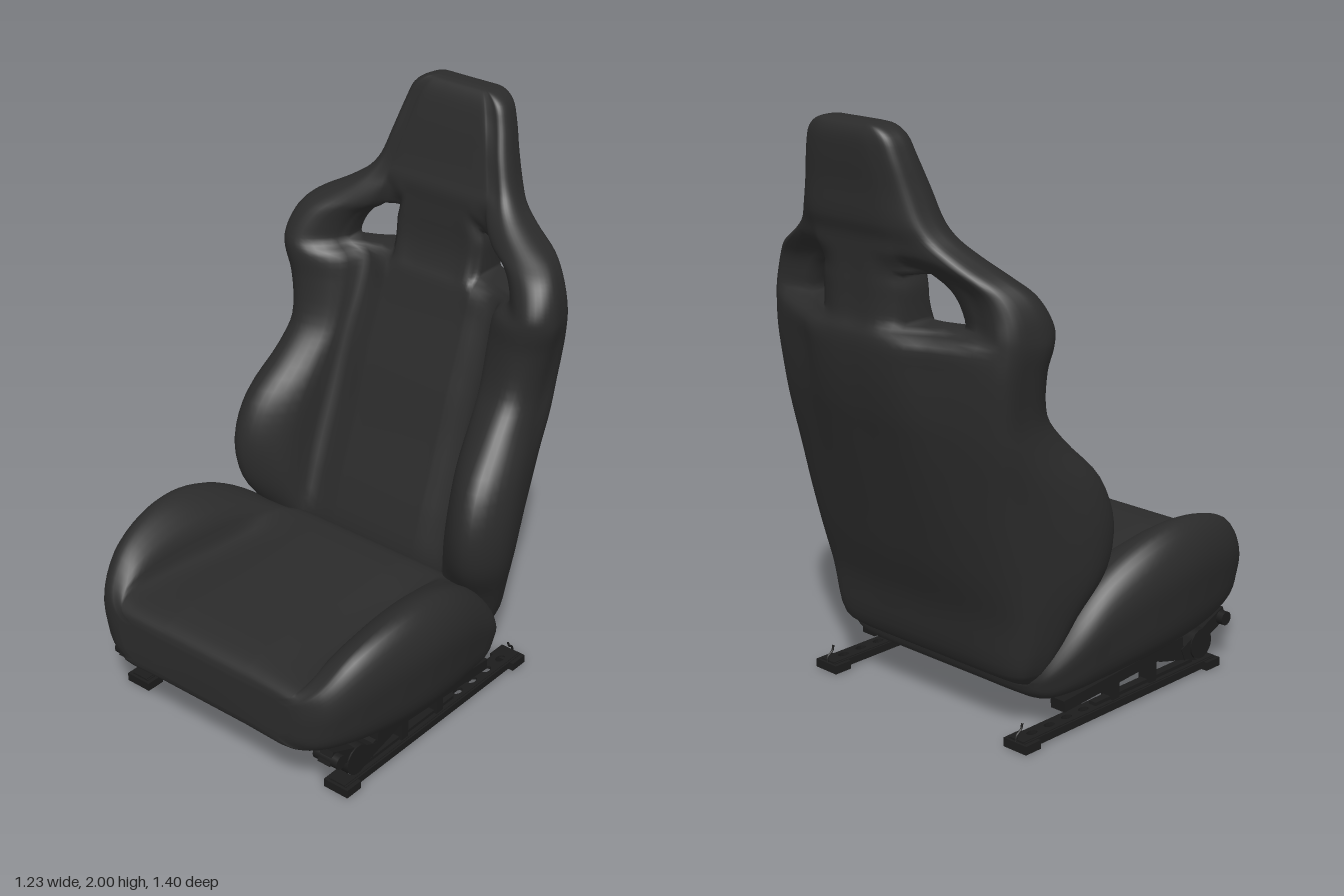
import * as THREE from 'three';

const fabric = new THREE.MeshStandardMaterial({ color: 0x2b2b2b });
fabric.name = 'charcoal upholstery';
const metal = new THREE.MeshStandardMaterial({ color: 0x1c1c1c });
metal.name = 'black metal';

const COLS = 3, ROWS = 4; // subdivisions between control points
const A = 3, B = 4, B_BACK = 13, A_BACK = 14; // control points beside an opening

// Closed bolstered cross-section as [x, depth] pairs.
// w half width, xs seam, c centre face, b bolster peak, k centre back, s side back, wb back half width
function section({ w, xs, c, b, k, s = k, wb = w * 0.94, open = false }) {
  const xi = Math.min(0.185, xs * 0.78), d = w - xs, D = b - s;
  const p = open ? 0.03 : 0;
  const groove = Math.min(0.012, Math.abs(b - c) * 0.1);
  const rise = (t) => c + (b - c) * t;
  const half = [
    [0, c], [xi * 0.5, c], [xi - 0.03, c], [xi, c - p],
    [xs, open ? rise(0.3) - p : c - groove],
    [xs + d * 0.15, rise(0.48)], [xs + d * 0.45, rise(0.9)], [xs + d * 0.7, b],
    [xs + d * 0.9, b - D * 0.1], [w, b - D * 0.3], [w + (wb - w) * 0.35, b - D * 0.55],
    [wb, b - D * 0.8], [wb * 0.91, b - D * 0.95],
    [xs, k + (s - k) * (open ? 1 : 0.5) + p], [xi, k + (s - k) * 0.12 + p], [xi * 0.5, k], [0, k],
  ];
  const mirrored = half.slice(1, -1).reverse().map(([x, z]) => [-x, z]);
  return [...half, ...mirrored];
}

// Smooth skin through the sections; hole = [first, last] station of a mirrored opening
function loft(stations, place, hole) {
  const rings = stations.map((st) => {
    const pts = section(st).map(([x, v]) => place(x, v, st.at));
    const curve = new THREE.CatmullRomCurve3(pts, true);
    const n = pts.length * COLS;
    return Array.from({ length: n }, (_, i) => curve.getPoint(i / n));
  });
  const N = rings[0].length, R = (stations.length - 1) * ROWS;
  const columns = rings[0].map((_, i) => new THREE.CatmullRomCurve3(rings.map((r) => r[i])));
  const pos = [], index = [];
  for (let j = 0; j <= R; j++) for (const col of columns) pos.push(...col.getPoint(j / R).toArray());
  const id = (j, i) => j * N + ((i + N) % N);
  const quad = (a, b, c, d) => index.push(a, b, d, b, c, d);

  const [j0, j1] = hole ? [hole[0] * ROWS, hole[1] * ROWS] : [1, 0];
  const inGap = (i) => (i >= A * COLS && i < B * COLS) || (i >= B_BACK * COLS && i < A_BACK * COLS);
  for (let j = 0; j < R; j++) for (let i = 0; i < N; i++) {
    if (j >= j0 && j < j1 && (inGap(i) || inGap(N - 1 - i))) continue;
    quad(id(j, i), id(j, i + 1), id(j + 1, i + 1), id(j + 1, i));
  }

  // Walls through the openings
  if (hole) {
    const loop = [];
    for (let k = 0; k < COLS; k++) loop.push([j0, k]);
    for (let j = j0; j < j1; j++) loop.push([j, COLS]);
    for (let k = COLS; k > 0; k--) loop.push([j1, k]);
    for (let j = j1; j > j0; j--) loop.push([j, 0]);
    loop.forEach(([j, k], n) => {
      const [jn, kn] = loop[(n + 1) % loop.length];
      const f = A * COLS + k, fn = A * COLS + kn, r = A_BACK * COLS - k, rn = A_BACK * COLS - kn;
      quad(id(j, f), id(jn, fn), id(jn, rn), id(j, r));
      quad(id(j, -r), id(jn, -rn), id(jn, -fn), id(j, -f));
    });
  }

  // End caps
  for (const j of [0, R]) {
    const centre = new THREE.Vector3();
    for (let i = 0; i < N; i++) centre.add(new THREE.Vector3().fromArray(pos, id(j, i) * 3));
    pos.push(...centre.divideScalar(N).toArray());
    const m = pos.length / 3 - 1;
    for (let i = 0; i < N; i++) {
      if (j) index.push(m, id(j, i), id(j, i + 1));
      else index.push(m, id(j, i + 1), id(j, i));
    }
  }
  const g = new THREE.BufferGeometry();
  g.setAttribute('position', new THREE.Float32BufferAttribute(pos, 3));
  g.setIndex(index);
  g.computeVertexNormals();
  return g;
}

const station = ([at, w, xs, c, b, k, s, wb, open]) => ({ at, w, xs, c, b, k, s, wb, open });

// Backrest with headrest: height, half width, seam, front, bolster, back, side back, back half width, open
const lowerBack = [
  [0.175, 0.40, 0.28, -0.29, -0.28, -0.33], [0.22, 0.44, 0.29, -0.24, -0.22, -0.385, -0.38, 0.42],
  [0.40, 0.51, 0.30, -0.17, -0.14, -0.43, -0.41, 0.46], [0.55, 0.565, 0.305, -0.20, -0.05, -0.485, -0.45, 0.48],
  [0.70, 0.58, 0.305, -0.25, -0.03, -0.53, -0.485, 0.495], [0.85, 0.565, 0.30, -0.30, -0.08, -0.575, -0.515, 0.505],
  [1.00, 0.525, 0.295, -0.345, -0.22, -0.62, -0.545, 0.51], [1.10, 0.515, 0.29, -0.38, -0.295, -0.65, -0.56, 0.51],
  [1.25, 0.54, 0.28, -0.43, -0.32, -0.68, -0.57, 0.525], [1.34, 0.565, 0.29, -0.455, -0.315, -0.685, -0.565, 0.535],
];
const shoulders = [
  [1.385, 0.565, 0.345, -0.475, -0.32, -0.665, -0.56, 0.535, true],
  [1.44, 0.555, 0.33, -0.49, -0.34, -0.66, -0.555, 0.525, true],
  [1.495, 0.53, 0.29, -0.495, -0.37, -0.66, -0.56, 0.50, true],
  [1.54, 0.485, 0.225, -0.495, -0.41, -0.66, -0.58, 0.455, true],
];
const headrest = [
  [1.60, 0.38, 0.20, -0.495, -0.455, -0.665, -0.61], [1.65, 0.31, 0.20, -0.495, -0.49, -0.67, -0.635],
  [1.70, 0.275, 0.19, -0.51, -0.515, -0.685, -0.655], [1.80, 0.24, 0.165, -0.535, -0.54, -0.69, -0.67],
  [1.90, 0.21, 0.14, -0.56, -0.57, -0.70, -0.685], [1.96, 0.185, 0.12, -0.58, -0.585, -0.70, -0.69],
  [1.99, 0.145, 0.10, -0.60, -0.60, -0.685], [2.00, 0.10, 0.08, -0.62, -0.62, -0.66],
];

// Seat cushion: z, half width, seam, top, bolster top, underside
const cushion = [
  [0.70, 0.38, 0.30, 0.39, 0.38, 0.25], [0.69, 0.43, 0.37, 0.42, 0.41, 0.22],
  [0.65, 0.50, 0.39, 0.445, 0.46, 0.20], [0.55, 0.56, 0.385, 0.46, 0.55, 0.185],
  [0.40, 0.60, 0.375, 0.46, 0.605, 0.17], [0.25, 0.617, 0.36, 0.455, 0.617, 0.16],
  [0.10, 0.607, 0.35, 0.455, 0.585, 0.145], [-0.05, 0.575, 0.335, 0.455, 0.505, 0.125],
  [-0.17, 0.54, 0.325, 0.43, 0.395, 0.11], [-0.25, 0.49, 0.31, 0.30, 0.29, 0.105],
  [-0.285, 0.45, 0.30, 0.23, 0.23, 0.125], [-0.30, 0.40, 0.28, 0.19, 0.19, 0.16],
];

// Flat rail strip with a row of punched holes
function railStrip() {
  const s = new THREE.Shape();
  s.moveTo(-0.03, -0.41).lineTo(0.03, -0.41).lineTo(0.03, 0.55).lineTo(-0.03, 0.55).closePath();
  for (let i = 0; i < 11; i++) {
    const h = new THREE.Path();
    h.absellipse(0, -0.34 + i * 0.082, 0.014, 0.022, 0, Math.PI * 2, true);
    s.holes.push(h);
  }
  return new THREE.ExtrudeGeometry(s, { depth: 0.012, bevelEnabled: false, curveSegments: 6 })
    .rotateX(Math.PI / 2);
}

export function createModel() {
  const model = new THREE.Group();
  const add = (name, geometry, material, x = 0, y = 0, z = 0, parent = model) => {
    const m = new THREE.Mesh(geometry, material);
    m.name = name;
    m.position.set(x, y, z);
    parent.add(m);
    return m;
  };
  const box = (...size) => new THREE.BoxGeometry(...size);
  const rod = (r, l) => new THREE.CylinderGeometry(r, r, l, 14).rotateZ(Math.PI / 2);

  const back = [...lowerBack, ...shoulders, ...headrest].map(station);
  add('backrest', loft(back, (x, z, y) => new THREE.Vector3(x, y, z),
    [lowerBack.length, lowerBack.length + shoulders.length - 1]), fabric);
  add('seatCushion', loft(cushion.map(station), (x, y, z) => new THREE.Vector3(x, y, z)), fabric);

  // Runners and mounts on both sides
  for (const side of [-1, 1]) {
    const g = new THREE.Group();
    g.name = side > 0 ? 'leftRunner' : 'rightRunner';
    g.position.x = side * 0.45;
    model.add(g);
    add('railStrip', railStrip(), metal, 0, 0.036, 0, g);
    for (const x of [-0.03, 0.03]) add('railWall', box(0.012, 0.026, 0.96), metal, x, 0.02, 0.07, g);
    add('railCore', box(0.03, 0.012, 0.5), metal, 0, 0.042, 0.2, g);
    for (const z of [0.525, -0.385]) add('railFoot', box(0.1, 0.03, 0.07), metal, 0, 0.015, z, g);
    add('slideMount', box(0.06, 0.04, 0.6), metal, 0, 0.115, 0.08, g).rotation.x = -0.07;
    for (const z of [0.23, 0.04]) add('strut', box(0.05, 0.08, 0.035), metal, 0, 0.07, z, g);
    add('frontArm', box(0.05, 0.05, 0.24), metal, 0, 0.13, 0.5, g).rotation.x = -0.4;
    add('frontPivot', rod(0.055, 0.06), metal, 0, 0.1, 0.48, g);
    add('pivotLink', box(0.045, 0.05, 0.2), metal, 0, 0.095, 0.37, g).rotation.x = 0.25;
    add('frontBolt', rod(0.025, 0.1), metal, 0, 0.165, 0.59, g);
    const hook = new THREE.CatmullRomCurve3([
      new THREE.Vector3(0, 0.03, -0.415), new THREE.Vector3(0, 0.05, -0.41),
      new THREE.Vector3(0, 0.065, -0.39), new THREE.Vector3(0, 0.085, -0.385)]);
    add('rearHook', new THREE.TubeGeometry(hook, 8, 0.004, 6), metal, 0, 0, 0, g);
  }
  add('frontCrossbar', rod(0.02, 0.86), metal, 0, 0.088, 0.47);
  add('rearCrossbar', rod(0.015, 0.86), metal, 0, 0.115, -0.15);
  add('seatPan', box(0.78, 0.02, 0.6), metal, 0, 0.137, 0.12).rotation.x = -0.1;
  return model;
}
